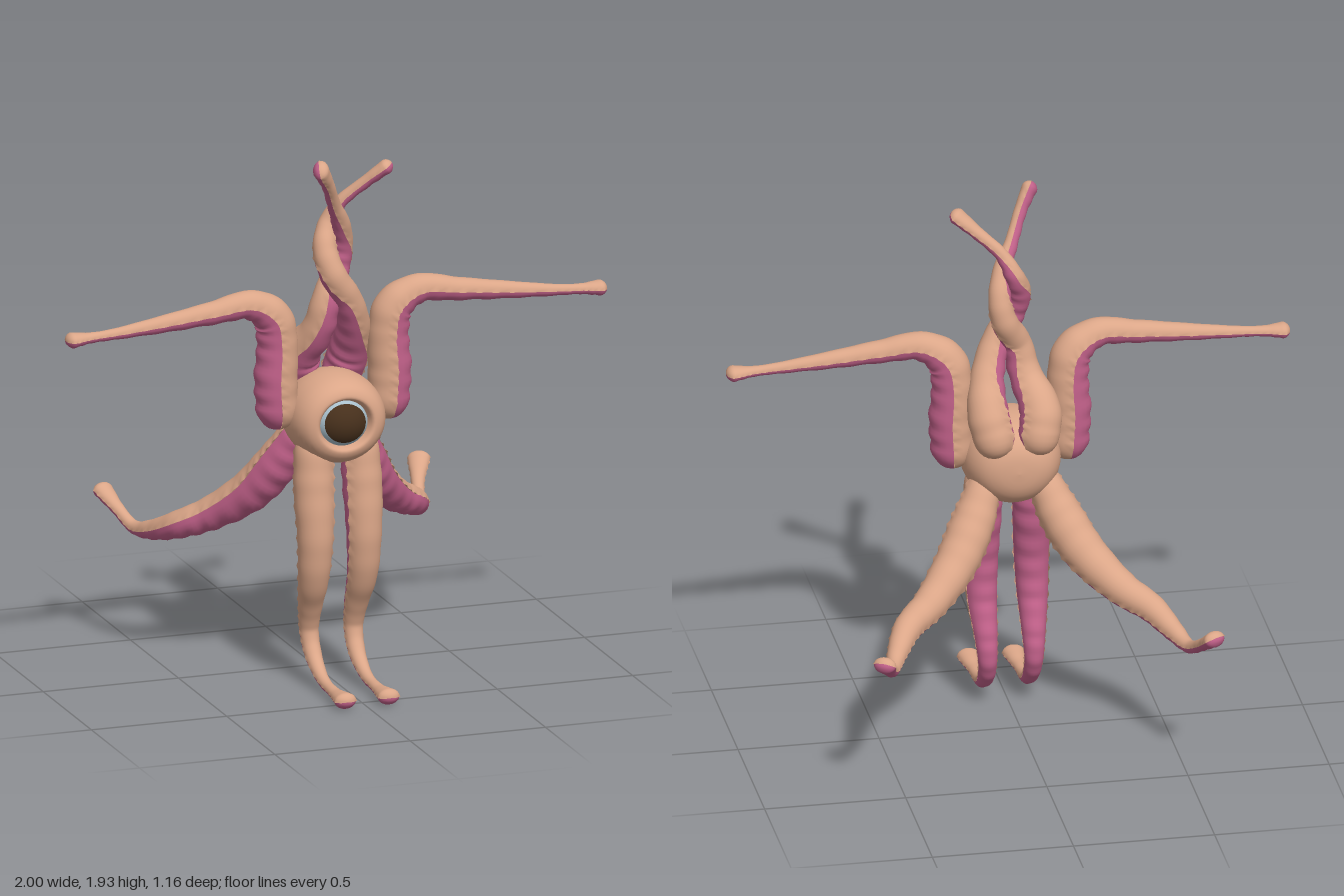
import * as THREE from 'three';

const V = (x, y, z) => new THREE.Vector3(x, y, z);
const mat = (name, color, side = THREE.FrontSide) => {
  const m = new THREE.MeshStandardMaterial({ color, side });
  m.name = name;
  return m;
};

export function createModel() {
  const skin = mat('skin', 0xdba688, THREE.DoubleSide);
  const pink = mat('underside pink', 0xc2618a, THREE.DoubleSide);
  const eyeBlue = mat('eye pale blue', 0xa9c0cc);
  const pupilBrown = mat('pupil brown', 0x47301c);

  const group = new THREE.Group();
  const add = (parent, name, geo, material) => {
    const m = new THREE.Mesh(geo, material);
    m.name = name;
    parent.add(m);
    return m;
  };

  // One strip of a limb: rings swept from angle a0 to a1 around the path
  function strip(rings, a0, a1, n, shape) {
    const pos = [], idx = [];
    rings.forEach(({ p, d, s, r, w }, j) => {
      for (let i = 0; i <= n; i++) {
        const a = a0 + (a1 - a0) * i / n;
        const k = r * shape(j, i, n, a);
        const v = p.clone().addScaledVector(d, Math.cos(a) * k).addScaledVector(s, Math.sin(a) * k * w);
        pos.push(v.x, v.y, v.z);
      }
      if (j === 0) return;
      for (let i = 0; i < n; i++) {
        const b = j * (n + 1) + i, a = b - n - 1;
        idx.push(a, a + 1, b, a + 1, b + 1, b);
      }
    });
    const g = new THREE.BufferGeometry();
    g.setAttribute('position', new THREE.Float32BufferAttribute(pos, 3));
    g.setIndex(idx);
    g.computeVertexNormals();
    return g;
  }

  // Tentacle from rows [x, y, z, radius, underside direction x, y, z]
  function tentacle(name, rows, mirror = 1) {
    const path = new THREE.CatmullRomCurve3(rows.map(q => V(q[0] * mirror, q[1], q[2])));
    const radii = new THREE.CatmullRomCurve3(rows.map((q, i) => V(q[3], i, 0)), false, 'catmullrom', 0.5);
    const hints = new THREE.CatmullRomCurve3(rows.map(q => V(q[4] * mirror, q[5], q[6])), false, 'catmullrom', 0.5);
    const ringAt = (t, shift, shrink) => {
      const T = path.getTangent(t), r = radii.getPoint(t).x;
      const d = hints.getPoint(t);
      d.addScaledVector(T, -d.dot(T)).normalize();
      return {
        p: path.getPoint(t).addScaledVector(T, shift * r), d, s: T.clone().cross(d),
        r: r * shrink, w: 1 + 0.4 * THREE.MathUtils.smoothstep(t, 0.8, 1),
      };
    };
    const rings = [], N = 80, C = 6;
    for (let k = 0; k < C; k++) {
      const a = Math.PI / 2 * k / C;
      rings.push(ringAt(0, -Math.cos(a), Math.sin(a)));
    }
    for (let j = 0; j <= N; j++) rings.push(ringAt(j / N, 0, 1));
    for (let k = C - 1; k >= 0; k--) {
      const a = Math.PI / 2 * k / C;
      rings.push(ringAt(1, Math.cos(a), Math.sin(a)));
    }
    const limb = new THREE.Group();
    limb.name = name;
    const h = 1.48;
    // Rippled underside and a skin top with a ragged edge
    add(limb, 'underside', strip(rings, -h, h, 10,
      (j, i, n, a) => 1 + 0.05 * Math.cos(a) ** 2 * Math.sin(j * Math.PI / 2.5)), pink);
    add(limb, 'topSkin', strip(rings, h, 2 * Math.PI - h, 14,
      (j, i, n) => (i === 0 || i === n) ? (j % 3 === 0 ? 1.1 : 1.01) : 1 + 0.012 * Math.sin(j * 1.1)), skin);
    group.add(limb);
  }

  const arm = [
    [0.205, 1.01, 0.195, 0.074, 1, 0, 0],
    [0.21, 1.12, 0.195, 0.076, 1, 0, 0],
    [0.205, 1.25, 0.195, 0.072, 1, 0, 0],
    [0.225, 1.345, 0.2, 0.068, 1, -0.5, 0],
    [0.31, 1.4, 0.21, 0.052, 0.4, -1, 0],
    [0.45, 1.388, 0.22, 0.041, 0, -1, 0],
    [0.63, 1.368, 0.225, 0.031, 0, -1, 0],
    [0.82, 1.35, 0.23, 0.02, 0, -1, 0],
    [0.91, 1.345, 0.23, 0.019, 0, -1, 0],
    [0.972, 1.343, 0.23, 0.027, 0, -1, 0],
  ];
  const frontLeg = [
    [0.085, 0.85, 0.235, 0.068, -0.5, 0, -0.85],
    [0.09, 0.72, 0.25, 0.07, -0.5, 0, -0.85],
    [0.09, 0.55, 0.268, 0.062, -0.35, 0, -0.9],
    [0.09, 0.4, 0.25, 0.054, -0.2, 0, -1],
    [0.085, 0.28, 0.2, 0.042, -0.1, 0, -1],
    [0.082, 0.19, 0.18, 0.034, 0, -0.1, -1],
    [0.08, 0.11, 0.22, 0.03, 0, -0.7, -0.7],
    [0.08, 0.048, 0.32, 0.022, 0, -1, -0.2],
    [0.08, 0.034, 0.44, 0.019, 0, -1, 0],
    [0.08, 0.036, 0.55, 0.028, 0, -1, 0],
  ];
  const backLeg = [
    [0.11, 0.88, 0.11, 0.06, 0.1, -0.6, 0.8],
    [0.16, 0.77, 0.06, 0.076, 0.1, -0.6, 0.8],
    [0.23, 0.66, -0.01, 0.074, 0, -0.7, 0.7],
    [0.34, 0.56, -0.11, 0.06, 0, -0.8, 0.6],
    [0.43, 0.51, -0.18, 0.05, 0, -0.9, 0.5],
    [0.49, 0.465, -0.29, 0.036, 0, -1, 0.2],
    [0.525, 0.45, -0.39, 0.024, 0, -1, -0.2],
    [0.555, 0.495, -0.48, 0.022, 0.3, -1, -0.5],
    [0.583, 0.545, -0.55, 0.028, 0.3, -1, -0.5],
  ];
  for (const [side, m] of [['left', 1], ['right', -1]]) {
    tentacle(side + 'Arm', arm, m);
    tentacle(side + 'FrontLeg', frontLeg, m);
    tentacle(side + 'BackLeg', backLeg, m);
  }

  // Two tentacles twisted around each other above the body
  tentacle('leftTopTentacle', [
    [0.08, 1.09, 0.07, 0.072, -0.4, 0.3, 0.9],
    [0.095, 1.17, 0.1, 0.073, -0.6, 0, 0.8],
    [0.085, 1.28, 0.17, 0.06, -0.9, 0, 0.3],
    [0.045, 1.39, 0.22, 0.052, -1, 0, 0],
    [-0.015, 1.49, 0.24, 0.047, -0.6, 0, -0.8],
    [-0.035, 1.58, 0.21, 0.042, 0.4, 0, -0.9],
    [-0.01, 1.66, 0.175, 0.034, 1, 0, -0.3],
    [0.03, 1.735, 0.19, 0.024, 1, -0.5, 0.3],
    [0.11, 1.81, 0.225, 0.022, 0.9, -0.6, 0.5],
    [0.175, 1.866, 0.255, 0.026, 0.9, -0.6, 0.5],
  ]);
  tentacle('rightTopTentacle', [
    [-0.08, 1.09, 0.07, 0.072, 0.4, 0.3, 0.9],
    [-0.09, 1.17, 0.1, 0.073, 0.6, 0, 0.8],
    [-0.05, 1.28, 0.18, 0.058, 0.8, 0, 0.5],
    [-0.025, 1.39, 0.2, 0.052, 1, 0, 0.3],
    [0.025, 1.49, 0.165, 0.046, 0.4, 0, 0.9],
    [0.04, 1.58, 0.175, 0.04, -0.7, 0, 0.6],
    [0.02, 1.67, 0.22, 0.033, -1, 0, 0],
    [-0.02, 1.75, 0.265, 0.024, -1, -0.2, -0.4],
    [-0.06, 1.84, 0.315, 0.023, -1, -0.2, -0.4],
    [-0.098, 1.905, 0.352, 0.028, -1, -0.2, -0.4],
  ]);

  // Body turned around the front-back axis, with an open eyelid rim
  const profile = [[0.085, 0.3], [0.097, 0.335], [0.115, 0.34], [0.145, 0.32], [0.168, 0.27],
    [0.176, 0.19], [0.162, 0.11], [0.125, 0.05], [0.07, 0.02], [0, 0.012]];
  const bodyCurve = new THREE.SplineCurve(profile.map(q => new THREE.Vector2(...q)));
  const body = add(group, 'body', new THREE.LatheGeometry(bodyCurve.getPoints(30).reverse(), 40), skin);
  body.rotation.x = Math.PI / 2;
  body.position.y = 0.97;
  body.scale.z = 0.92;

  // Eye and pupil cap
  const eye = new THREE.Group();
  eye.name = 'eye';
  eye.position.set(0, 0.968, 0.26);
  group.add(eye);
  add(eye, 'eyeball', new THREE.SphereGeometry(0.102, 32, 20), eyeBlue).scale.set(1, 0.92, 1);
  const pupil = add(eye, 'pupil', new THREE.SphereGeometry(0.105, 32, 8, 0, Math.PI * 2, 0, 0.8), pupilBrown);
  pupil.rotation.set(Math.PI / 2 - 0.08, 0, 0.03);
  pupil.scale.set(1, 1, 0.92);
  return group;
}
